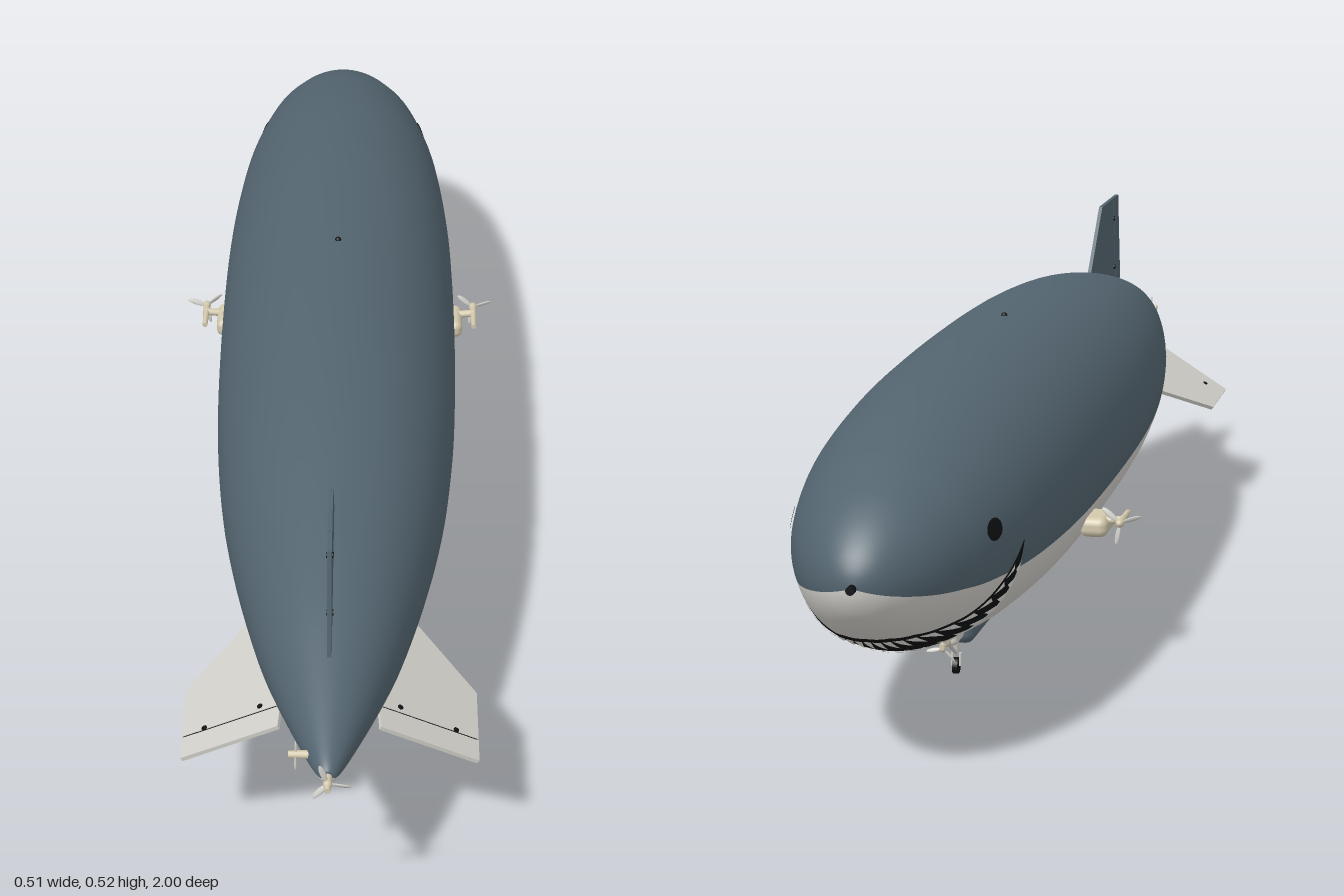
import * as THREE from 'three';
import { RoundedBoxGeometry } from 'three/addons/geometries/RoundedBoxGeometry.js';

const AXIS_Y = 0.286, DEG = Math.PI / 180;

function paint(name, color, side = THREE.FrontSide) {
  const m = new THREE.MeshStandardMaterial({ color, side });
  m.name = name;
  return m;
}

// linear lookup in a list of [key, value] pairs with rising keys
function lookup(table, x) {
  let i = 1;
  while (i < table.length - 1 && table[i][0] < x) i++;
  const [x0, a] = table[i - 1], [x1, b] = table[i];
  return a + (b - a) * THREE.MathUtils.clamp((x - x0) / (x1 - x0), 0, 1);
}

// hull profile: radius along the length, nose at -z
const PROFILE = new THREE.SplineCurve([
  [0, -0.99], [0.022, -0.985], [0.047, -0.97], [0.075, -0.94], [0.1, -0.9], [0.121, -0.85],
  [0.138, -0.8], [0.159, -0.7], [0.172, -0.6], [0.183, -0.45], [0.1875, -0.3], [0.188, -0.1],
  [0.184, 0.1], [0.176, 0.25], [0.161, 0.4], [0.136, 0.55], [0.103, 0.7], [0.074, 0.8],
  [0.04, 0.9], [0.014, 0.965], [0, 0.97],
].map(p => new THREE.Vector2(...p))).getPoints(100);
const RADIUS = PROFILE.map(p => [p.y, p.x]);

// point on the hull; phi is measured from the keel, in degrees
function onHull(phi, z, lift) {
  const r = lookup(RADIUS, z) + lift, a = phi * DEG;
  return [r * Math.sin(a), AXIS_Y - r * Math.cos(a), z];
}

// thin painted patch that follows the hull; rule(u, v) gives [phi, z]
function patch(rule, nu, nv, lift) {
  const pos = [], index = [];
  for (let j = 0; j <= nv; j++)
    for (let i = 0; i <= nu; i++) pos.push(...onHull(...rule(i / nu, j / nv), lift));
  for (let j = 0; j < nv; j++)
    for (let i = 0; i < nu; i++) {
      const a = j * (nu + 1) + i, b = a + nu + 1;
      index.push(a, b, a + 1, b, b + 1, a + 1);
    }
  const g = new THREE.BufferGeometry();
  g.setAttribute('position', new THREE.Float32BufferAttribute(pos, 3));
  g.setIndex(index);
  g.computeVertexNormals();
  return g;
}

export function createModel() {
  const slate = paint('slate', 0x53646f);
  const pale = paint('paleGrey', 0xd2d0ca);
  const cream = paint('cream', 0xd2c8ac);
  const black = paint('black', 0x101113, THREE.DoubleSide);
  const white = paint('toothWhite', 0xe6e4de, THREE.DoubleSide);
  const model = new THREE.Group();
  model.name = 'airship';
  model.position.x = -0.003;

  function add(parent, name, geometry, material, x = 0, y = 0, z = 0) {
    const m = new THREE.Mesh(geometry, material);
    m.name = name;
    m.position.set(x, y, z);
    parent.add(m);
    return m;
  }
  // round bar between two points
  function bar(parent, name, a, b, r, material, r2 = r) {
    const p = new THREE.Vector3(...a), q = new THREE.Vector3(...b), d = q.clone().sub(p);
    const m = add(parent, name, new THREE.CylinderGeometry(r2, r, d.length(), 12), material);
    m.position.copy(p).add(q).multiplyScalar(0.5);
    m.quaternion.setFromUnitVectors(new THREE.Vector3(0, 1, 0), d.normalize());
    return m;
  }
  // three-bladed propeller turning about z
  function propeller(parent, name, radius, x, y, z, spin) {
    const g = new THREE.Group();
    g.name = name;
    g.position.set(x, y, z);
    add(g, 'hub', new THREE.SphereGeometry(radius * 0.2, 12, 8), cream).scale.z = 1.5;
    for (let i = 0; i < 3; i++) {
      const arm = new THREE.Group();
      arm.name = 'bladeArm';
      arm.rotation.z = spin + i * 120 * DEG;
      const blade = add(arm, 'blade', new THREE.SphereGeometry(1, 10, 8), pale, 0, radius * 0.55, 0);
      blade.scale.set(radius * 0.13, radius * 0.45, radius * 0.05);
      blade.rotation.y = 0.5;
      g.add(arm);
    }
    parent.add(g);
    return g;
  }
  function wheel(name, r, w, y, z) {
    add(model, name, new THREE.CylinderGeometry(r, r, w, 20).rotateZ(90 * DEG), black, 0, y, z);
  }

  // hull in two tones, split a little below the widest line
  const shell = (from, sweep, n) =>
    new THREE.LatheGeometry(PROFILE, n, from * DEG, sweep * DEG).rotateX(90 * DEG);
  add(model, 'upperHull', shell(75, 210, 48), slate, 0, AXIS_Y, 0);
  add(model, 'lowerHull', shell(-75, 150, 36), pale, 0, AXIS_Y, 0);
  bar(model, 'noseFitting', [0, AXIS_Y, -0.985], [0, AXIS_Y, -1], 0.006, black);
  add(model, 'topValve', new THREE.SphereGeometry(0.005, 10, 8), black, 0, 0.474, -0.12);
  add(model, 'keelLamp', new THREE.SphereGeometry(0.008, 10, 8), black, 0, 0.118, -0.64);

  // wide painted mouth that wraps under the chin
  const FRONT = [[0, -0.93], [20, -0.922], [35, -0.9], [48, -0.85], [64, -0.782], [78, -0.735], [90, -0.7]];
  const REAR = [[0, -0.8], [19, -0.785], [52, -0.726], [74, -0.71], [90, -0.7]];
  const mouthZ = (phi, t) => {
    const f = lookup(FRONT, Math.abs(phi)), r = lookup(REAR, Math.abs(phi));
    return f + (r - f) * t;
  };
  add(model, 'mouth', patch((u, v) => {
    const phi = u * 180 - 90;
    return [phi, mouthZ(phi, v)];
  }, 72, 8, 0.002), black);
  const TEETH = 21, STEP = 160 / TEETH;
  for (let i = 0; i < TEETH; i++)
    for (const upper of [true, false]) {
      const mid = -80 + (i + 0.5) * STEP;
      add(model, upper ? 'upperTooth' : 'lowerTooth', patch((u, v) => {
        const phi = mid + (u - 0.5) * STEP * 0.85 * (1 - v);
        const t = 0.05 + v * 0.36;
        return [phi, mouthZ(phi, upper ? t : 1 - t)];
      }, 2, 5, 0.004), white);
    }

  // eyes
  for (const s of [-1, 1])
    add(model, s > 0 ? 'leftEye' : 'rightEye', patch((u, v) => {
      const a = u * 2 * Math.PI;
      return [s * (103.5 + 6 * v * Math.sin(a)), -0.787 + 0.021 * v * Math.cos(a)];
    }, 16, 2, 0.003), black);

  // three tail fins, each with a hinged rear flap
  const finShape = pts => new THREE.ExtrudeGeometry(
    new THREE.Shape(pts.map(p => new THREE.Vector2(...p))), { depth: 0.006, bevelEnabled: false })
    .translate(0, 0, -0.003).rotateY(-90 * DEG);
  ['topFin', 'leftFin', 'rightFin'].forEach((name, i) => {
    const fin = new THREE.Group();
    fin.name = name;
    fin.position.y = AXIS_Y;
    fin.rotation.z = [0, -120, 120][i] * DEG;
    const skin = i === 0 ? slate : pale;
    add(fin, 'fixedFin', finShape([[0.54, 0.13], [0.645, 0.237], [0.748, 0.237], [0.774, 0.075], [0.7, 0.08]]), skin);
    add(fin, 'flap', finShape([[0.751, 0.237], [0.795, 0.237], [0.82, 0.08], [0.777, 0.077]]), skin);
    bar(fin, 'hingeLine', [0, 0.077, 0.7755], [0, 0.235, 0.7495], 0.0025, black);
    for (const h of [0.11, 0.2])
      bar(fin, 'hingeBracket', [-0.005, h, 0.768 - h * 0.08], [0.005, h, 0.768 - h * 0.08], 0.004, black);
    model.add(fin);
  });

  // side engines on short outriggers
  for (const s of [-1, 1]) {
    const engine = new THREE.Group();
    engine.name = s > 0 ? 'leftEngine' : 'rightEngine';
    engine.position.set(s * 0.185, 0.207, -0.315);
    add(engine, 'nacelle', new RoundedBoxGeometry(0.042, 0.03, 0.07, 3, 0.012), cream);
    bar(engine, 'outrigger', [0, 0.006, -0.01], [s * 0.042, 0.01, -0.01], 0.006, cream);
    bar(engine, 'propShaft', [s * 0.04, 0.01, -0.035], [s * 0.04, 0.01, 0.035], 0.006, cream, 0.004);
    propeller(engine, 'sidePropeller', 0.034, s * 0.04, 0.01, -0.03, s * -70 * DEG);
    model.add(engine);
  }

  // tail propellers: one pushing, one steering sideways
  bar(model, 'tailShaft', [0, AXIS_Y, 0.955], [0, AXIS_Y, 1], 0.007, cream, 0.004);
  propeller(model, 'tailPropeller', 0.032, 0, AXIS_Y, 0.985, 20 * DEG);
  bar(model, 'steeringShaft', [0, 0.29, 0.93], [-0.053, 0.29, 0.93], 0.007, cream, 0.005);
  propeller(model, 'steeringPropeller', 0.022, -0.043, 0.29, 0.93, 0).rotation.y = 90 * DEG;

  // gondola with windows
  add(model, 'gondola', new RoundedBoxGeometry(0.056, 0.062, 0.225, 4, 0.016), slate, 0, 0.077, -0.335);
  for (const s of [-1, 1])
    for (let i = 0; i < 5; i++)
      add(model, 'gondolaWindow', new THREE.BoxGeometry(0.003, 0.016, 0.028), black, s * 0.028, 0.078, -0.258 - i * 0.038);
  add(model, 'frontWindow', new THREE.BoxGeometry(0.034, 0.018, 0.003), black, 0, 0.078, -0.4475);

  // engine mount ahead of the gondola
  add(model, 'frontEngine', new RoundedBoxGeometry(0.03, 0.024, 0.05, 3, 0.008), pale, 0, 0.07, -0.47);
  bar(model, 'frontShaft', [0, 0.066, -0.49], [0, 0.066, -0.525], 0.007, cream, 0.004);
  propeller(model, 'frontPropeller', 0.026, 0, 0.062, -0.517, 0.3);
  for (const s of [-1, 1]) {
    bar(model, 'mountStrut', [s * 0.012, 0.075, -0.47], [s * 0.018, 0.107, -0.45], 0.003, pale);
    bar(model, 'mountStrut', [s * 0.012, 0.075, -0.49], [s * 0.018, 0.112, -0.51], 0.003, pale);
  }

  // front landing gear
  bar(model, 'frontLeg', [0, 0.065, -0.445], [0, 0.03, -0.438], 0.005, pale);
  bar(model, 'frontBrace', [0, 0.06, -0.485], [0, 0.03, -0.438], 0.003, pale);
  for (const s of [-1, 1])
    bar(model, 'frontFork', [s * 0.006, 0.032, -0.438], [s * 0.006, 0.012, -0.438], 0.002, pale);
  wheel('frontWheel', 0.012, 0.008, 0.012, -0.438);

  // tail landing gear
  bar(model, 'tailLeg', [0, 0.165, 0.56], [0, 0.075, 0.56], 0.005, pale);
  bar(model, 'tailBrace', [0, 0.1, 0.56], [0, 0.163, 0.53], 0.003, slate);
  bar(model, 'upperCrossbar', [-0.011, 0.148, 0.56], [0.011, 0.148, 0.56], 0.004, pale);
  bar(model, 'lowerCrossbar', [-0.016, 0.1, 0.56], [0.016, 0.1, 0.56], 0.004, pale);
  for (const s of [-1, 1])
    bar(model, 'tailFork', [s * 0.006, 0.08, 0.56], [s * 0.006, 0.058, 0.553], 0.002, pale);
  wheel('tailWheel', 0.012, 0.008, 0.058, 0.553);

  return model;
}
